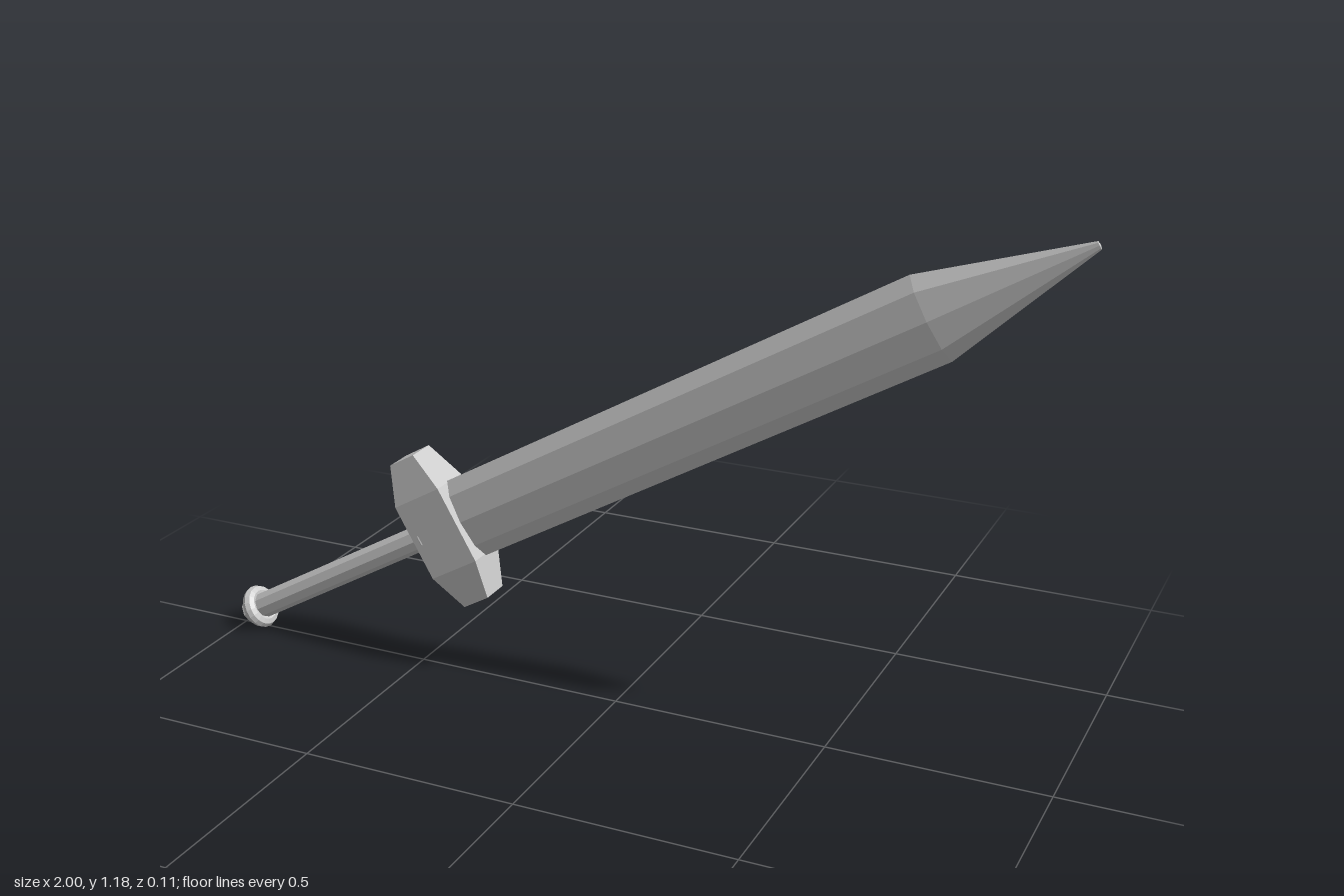
import * as THREE from 'three';

const SIDES = 9;
const material = new THREE.MeshStandardMaterial({ color: 0xcccccc, flatShading: true });

function addPart(parent, name, geometry, y = 0) {
  const mesh = new THREE.Mesh(geometry, material);
  mesh.name = name;
  mesh.position.y = y;
  parent.add(mesh);
  return mesh;
}

// Faceted solid turned from a [radius, height] profile, bottom to top
function turned(profile) {
  return new THREE.LatheGeometry(profile.map(([r, y]) => new THREE.Vector2(r, y)), SIDES);
}

// Ring lying around the sword's long axis
function ring(radius, tube) {
  return new THREE.TorusGeometry(radius, tube, 8, 18).rotateX(Math.PI / 2);
}

// Bar whose middle third is thicker than its tapered ends
function guardGeometry() {
  const g = new THREE.BoxGeometry(0.366, 2, 2, 3, 1, 1);
  const p = g.attributes.position;
  for (let i = 0; i < p.count; i++) {
    const end = Math.abs(p.getX(i)) > 0.1;
    p.setX(i, Math.sign(p.getX(i)) * (end ? 0.183 : 0.092));
    p.setY(i, p.getY(i) * (end ? 0.035 : 0.065));
    p.setZ(i, p.getZ(i) * (end ? 0.036 : 0.053));
  }
  return g;
}

export function createModel() {
  const model = new THREE.Group();
  model.name = 'sword';

  // Built upright along y, then leaned over toward +x
  const sword = new THREE.Group();
  sword.name = 'swordBody';
  sword.position.y = 0.602;
  sword.rotation.z = -Math.PI / 3;
  model.add(sword);

  // Blade: flattened nine-sided prism running to a point
  const blade = turned([[0, -0.435], [0.097, -0.435], [0.097, 0.79], [0.009, 1.153], [0, 1.155]]);
  addPart(sword, 'blade', blade.scale(1, 1, 0.37));

  // Crossguard with a collar buried in its lower side
  addPart(sword, 'crossguard', guardGeometry(), -0.492);
  addPart(sword, 'guardCollar', ring(0.039, 0.016), -0.54);

  // Grip and pommel ring
  addPart(sword, 'grip', turned([[0, -1.137], [0.031, -1.137], [0.031, -0.5], [0, -0.5]]));
  addPart(sword, 'pommelRing', ring(0.037, 0.016), -1.104);

  return model;
}
